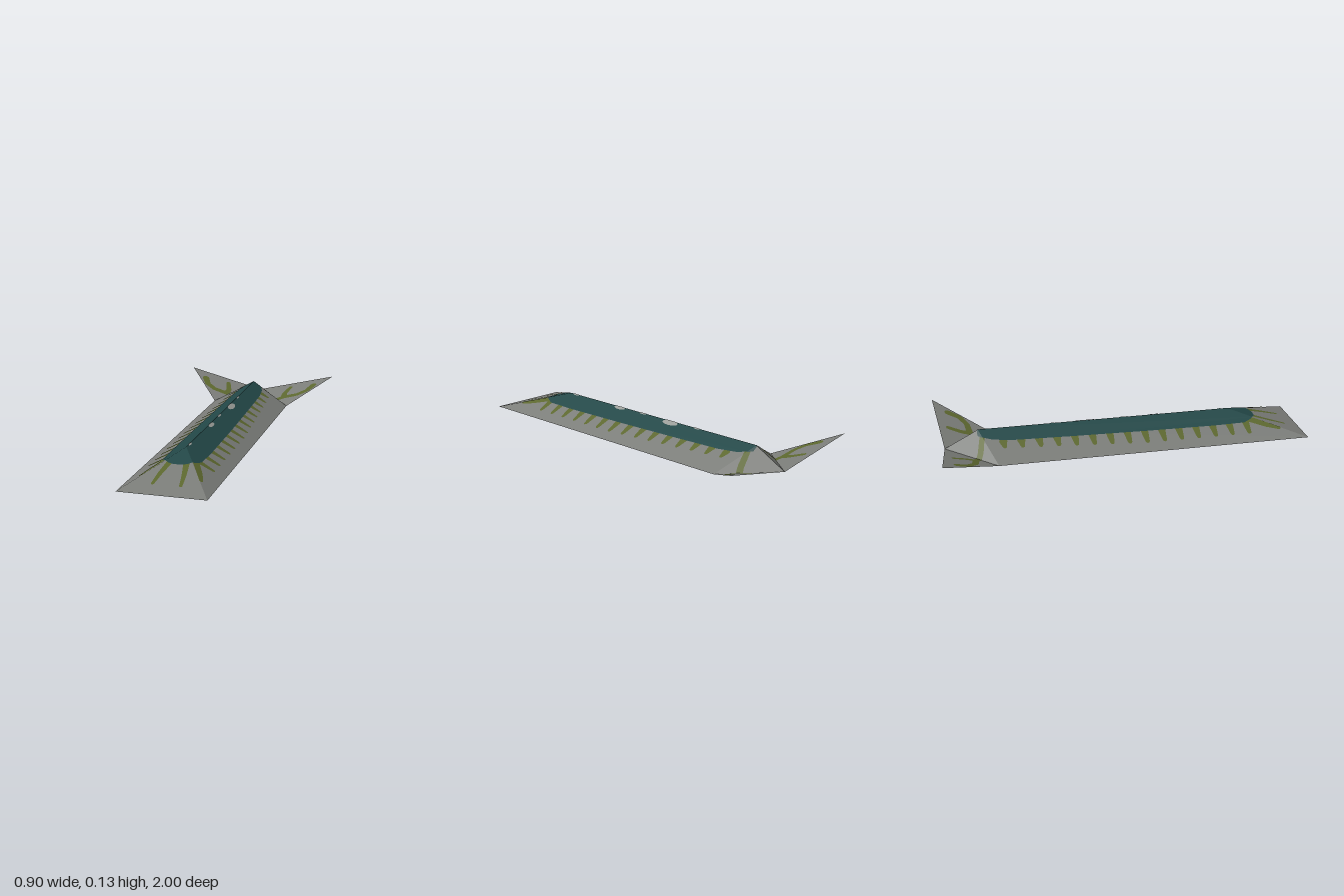
import * as THREE from 'three';

// Corner points of the folded sheet, right half (x >= 0)
const noseCorner = [0.225, 0, 1], waist = [0.225, 0, -0.7], tip = [0.45, 0.126, -1];
const ridgeFront = [0, 0.116, 0.6], ridgeBack = [0, 0.116, -0.785], tailCentre = [0, 0.022, -0.965];
const flip = ([x, y, z]) => [-x, y, z];

const halfFacets = [
  [noseCorner, waist, ridgeBack, ridgeFront],
  [ridgeBack, waist, tailCentre],
];
const bodyFacets = [
  [ridgeFront, flip(noseCorner), noseCorner],
  ...halfFacets, ...halfFacets.map((f) => f.map(flip)),
];
const fin = [waist, tip, tailCentre];
const facets = [...bodyFacets, fin, fin.map(flip)];

const side = (a, b, p) => (b[0] - a[0]) * (p[1] - a[1]) - (b[1] - a[1]) * (p[0] - a[0]);

// Cut a convex plan polygon ([x, z] points) to a facet's plan outline
function clip(poly, facet) {
  const plan = facet.map(([x, , z]) => [x, z]);
  const sign = Math.sign(side(plan[0], plan[1], plan[2]));
  let out = poly;
  plan.forEach((a, i) => {
    const b = plan[(i + 1) % plan.length], next = [];
    out.forEach((p, j) => {
      const q = out[(j + 1) % out.length];
      const dp = sign * side(a, b, p), dq = sign * side(a, b, q);
      if (dp >= 0) next.push(p);
      if ((dp >= 0) !== (dq >= 0)) {
        const t = dp / (dp - dq);
        next.push([p[0] + (q[0] - p[0]) * t, p[1] + (q[1] - p[1]) * t]);
      }
    });
    out = next;
  });
  return out;
}

// Flat-shaded mesh from 3D polygons, all wound to face upward
function polyMesh(name, polys, material) {
  const pos = [];
  for (const p of polys) {
    for (let i = 1; i < p.length - 1; i++) {
      const [a, b, c] = [p[0], p[i], p[i + 1]];
      const up = side([a[0], a[2]], [b[0], b[2]], [c[0], c[2]]) < 0;
      pos.push(...a, ...(up ? b : c), ...(up ? c : b));
    }
  }
  const g = new THREE.BufferGeometry();
  g.setAttribute('position', new THREE.Float32BufferAttribute(pos, 3));
  g.computeVertexNormals();
  const mesh = new THREE.Mesh(g, material);
  mesh.name = name;
  return mesh;
}

// Lay plan polygons over the sheet, on both its upper and lower face
function drape(name, polys, lift, material) {
  const out = [];
  for (const f of facets) {
    const plane = new THREE.Plane().setFromCoplanarPoints(...f.slice(0, 3).map((v) => new THREE.Vector3(...v)));
    const { normal: n, constant: d } = plane;
    for (const poly of polys) {
      const cut = clip(poly, f);
      if (cut.length < 3) continue;
      for (const s of [lift, -lift]) {
        out.push(cut.map(([x, z]) => [x, -(n.x * x + n.z * z + d) / n.y + s, z]));
      }
    }
  }
  return polyMesh(name, out, material);
}

const oval = (x, z, rx, rz, n = 10) => Array.from({ length: n }, (_, i) => {
  const a = (i / n) * Math.PI * 2;
  return [x + rx * Math.cos(a), z + rz * Math.sin(a)];
});

// Tapered strokes along [x, z, half width] points, with round joints
function stroke(points) {
  const polys = points.map(([x, z, r]) => oval(x, z, r, r, 8));
  for (let i = 0; i < points.length - 1; i++) {
    const [ax, az, ar] = points[i], [bx, bz, br] = points[i + 1];
    const l = Math.hypot(bx - ax, bz - az), nx = -(bz - az) / l, nz = (bx - ax) / l;
    polys.push([
      [ax + nx * ar, az + nz * ar], [bx + nx * br, bz + nz * br],
      [bx - nx * br, bz - nz * br], [ax - nx * ar, az - nz * ar],
    ]);
  }
  return polys;
}

const mirrored = (polys) => [...polys, ...polys.map((p) => p.map(([x, z]) => [-x, z]))];

export function createModel() {
  const mat = (name, color) => {
    const m = new THREE.MeshStandardMaterial({ color, side: THREE.DoubleSide });
    m.name = name;
    return m;
  };
  const grey = mat('sheetGrey', 0x7b7d79);
  const teal = mat('bodyTeal', 0x234848);
  const olive = mat('limbOlive', 0x5c672e);
  const pale = mat('spotGrey', 0x9a9d99);

  const model = new THREE.Group();
  model.name = 'foldedCreatureSheet';

  // Folded sheet and its two raised tail fins
  model.add(polyMesh('sheet', bodyFacets, grey));
  model.add(polyMesh('leftFin', [fin], grey));
  model.add(polyMesh('rightFin', [fin.map(flip)], grey));

  // Long painted body with rounded ends
  const half = [[0.03, -0.79], [0.05, -0.77], [0.07, -0.71], [0.082, -0.6], [0.09, -0.3], [0.098, 0.1],
    [0.103, 0.5], [0.1, 0.67], [0.08, 0.715], [0.05, 0.74], [0.02, 0.75]];
  const outline = [...half, ...half.map(([x, z]) => [-x, z]).reverse()];
  model.add(drape('body', [outline], 0.002, teal));

  // Rows of short legs
  const legs = [];
  for (let i = 0; i < 15; i++) {
    const z = -0.66 + i * 0.0955, reach = 0.115 + 0.045 * Math.min(1, i / 8);
    legs.push(...stroke([[0.085, z, 0.022], [reach, z + 0.004, 0.012]]));
  }
  model.add(drape('legs', mirrored(legs), 0.0015, olive));

  // Four spread feelers at the front
  const feelers = [
    ...stroke([[0.04, 0.72, 0.016], [0.06, 0.83, 0.012], [0.07, 0.915, 0.008]]),
    ...stroke([[0.08, 0.7, 0.018], [0.125, 0.79, 0.015], [0.152, 0.855, 0.009]]),
  ];
  model.add(drape('frontFeelers', mirrored(feelers), 0.0015, olive));

  // Forked antennae reaching on to the fins
  const antennae = [
    ...stroke([[0.04, -0.765, 0.014], [0.12, -0.785, 0.016], [0.18, -0.815, 0.018],
      [0.26, -0.825, 0.016], [0.315, -0.86, 0.017], [0.345, -0.92, 0.02]]),
    ...stroke([[0.18, -0.815, 0.02], [0.178, -0.86, 0.015], [0.2, -0.93, 0.013]]),
  ];
  model.add(drape('antennae', mirrored(antennae), 0.0015, olive));

  // Pale marks along the ridge
  const spots = [[0.003, -0.385, 0.006, 0.022], [0.014, -0.205, 0.017, 0.055], [0.003, 0.01, 0.007, 0.028],
    [0.01, 0.185, 0.011, 0.042], [0.004, 0.55, 0.006, 0.022]];
  model.add(drape('ridgeSpots', spots.map((s) => oval(...s)), 0.004, pale));

  return model;
}
